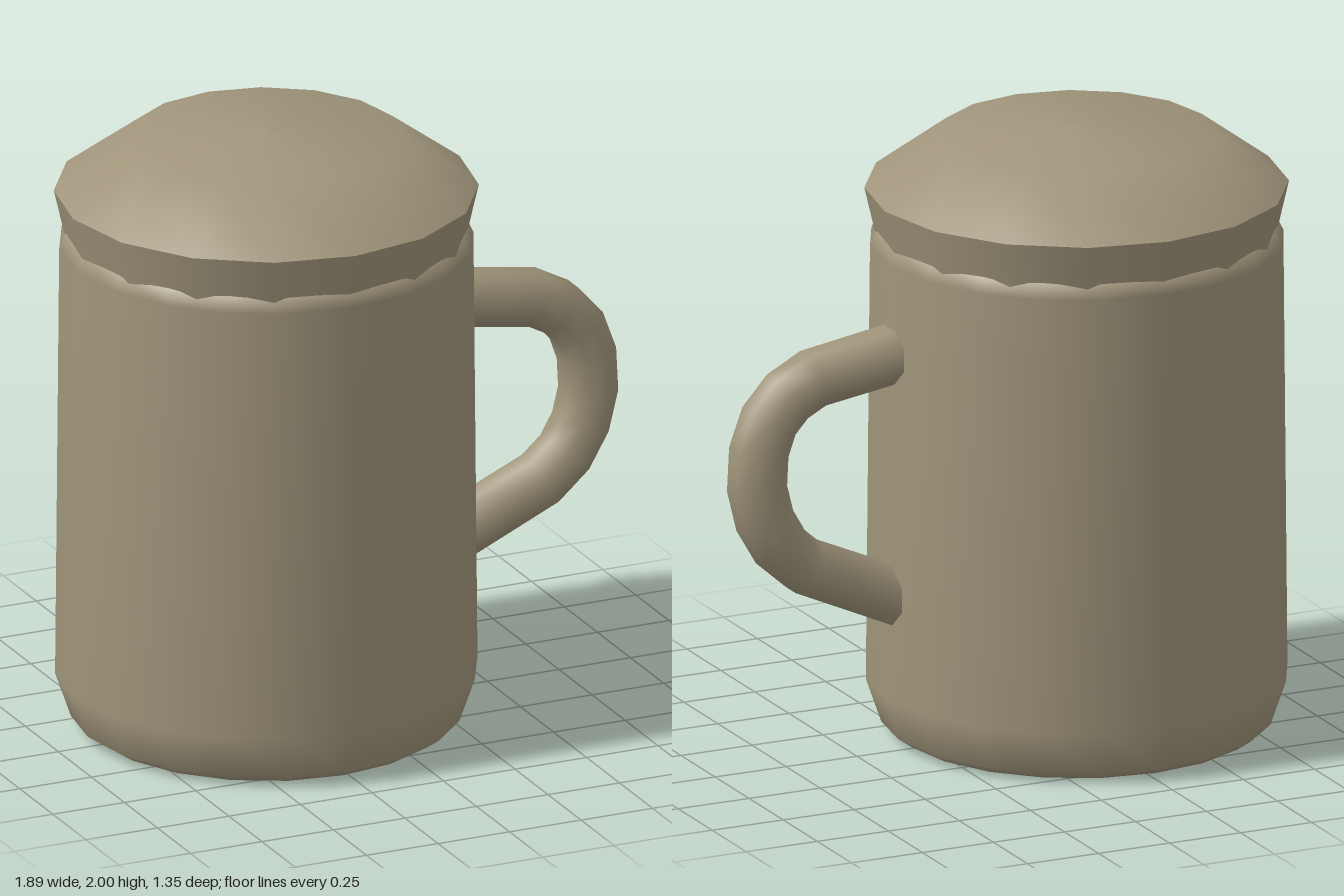
import * as THREE from 'three';

const AXIS_X = -0.273; // centre line of the mug body

export function createModel() {
  const group = new THREE.Group();
  group.name = 'lidded mug';
  const clay = new THREE.MeshStandardMaterial({ color: 0xa0957b });
  clay.name = 'clay';

  const addMesh = (name, geometry, x = 0) => {
    const mesh = new THREE.Mesh(geometry, clay);
    mesh.name = name;
    mesh.position.x = x;
    group.add(mesh);
  };
  const lathe = (profile, sides) =>
    new THREE.LatheGeometry(profile.map(([r, y]) => new THREE.Vector2(r, y)), sides);

  // Body: rounded foot, slightly tapering wall, lip tucked in under the lid
  addMesh('body', lathe([
    [0, 0], [0.58, 0.004], [0.625, 0.035], [0.675, 0.18],
    [0.662, 1.62], [0.64, 1.665], [0.6, 1.68],
  ], 20), AXIS_X);

  // Lid: flared rim and shallow dome, with a sharp edge between them
  addMesh('lidRim', lathe([[0, 1.62], [0.632, 1.62], [0.634, 1.621]], 16), AXIS_X);
  addMesh('lidSkirt', lathe([[0.634, 1.621], [0.675, 1.8]], 16), AXIS_X);
  addMesh('lidDome', lathe([[0.675, 1.8], [0.44, 1.973], [0, 2]], 16), AXIS_X);

  addMesh('handle', handleGeometry());
  return group;
}

// Handle: an eight-sided tube swept along a bent path in the xy plane
function handleGeometry() {
  const path = [
    [0.3, 1.336], [0.4, 1.32], [0.655, 1.28], [0.745, 1.232], [0.81, 1.16], [0.846, 1.06],
    [0.852, 0.94], [0.825, 0.83], [0.77, 0.735], [0.685, 0.66], [0.4, 0.532], [0.3, 0.487],
  ].map(([x, y]) => new THREE.Vector2(x, y));
  const last = path.length - 1;
  const geometry = new THREE.CylinderGeometry(1, 1, 1, 8, last, true, Math.PI / 8);
  const pos = geometry.attributes.position;
  const normal = geometry.attributes.normal;
  const radius = 0.096;

  for (let i = 0; i < pos.count; i++) {
    const row = Math.round((0.5 - pos.getY(i)) * last);
    const before = path[Math.max(row - 1, 0)];
    const after = path[Math.min(row + 1, last)];
    // Bisect the neighbouring directions so each ring sits square in the bend
    const dirIn = path[row].clone().sub(before).normalize();
    const dirOut = after.clone().sub(path[row]).normalize();
    const along = dirIn.add(dirOut).normalize();
    const side = pos.getX(i);
    const z = pos.getZ(i);
    const nx = -along.y * side;
    const ny = along.x * side;
    pos.setXYZ(i, path[row].x + nx * radius, path[row].y + ny * radius, z * radius);
    normal.setXYZ(i, nx, ny, z);
  }
  return geometry;
}
